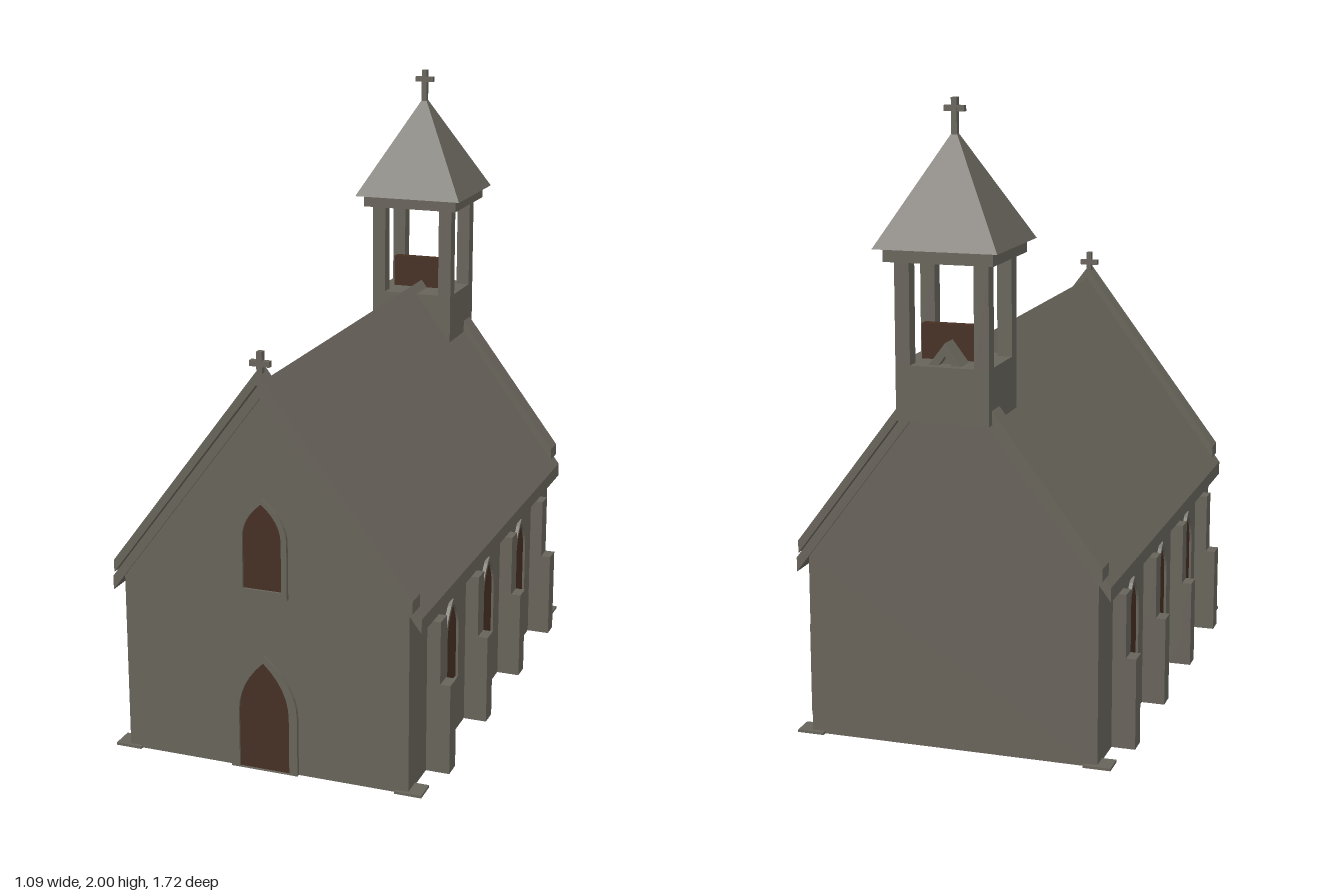
import * as THREE from 'three';

const stone = new THREE.MeshStandardMaterial({ color: 0x67635a });
stone.name = 'stone';
const brown = new THREE.MeshStandardMaterial({ color: 0x452e22 });
brown.name = 'darkBrown';

const TOWER_Z = -0.665;

export function createModel() {
  const model = new THREE.Group();
  model.name = 'chapel';

  const add = (name, geometry, material = stone, parent = model) => {
    const mesh = new THREE.Mesh(geometry, material);
    mesh.name = name;
    parent.add(mesh);
    return mesh;
  };

  // Box given by its lower and upper limits on each axis
  const box = (name, x0, x1, y0, y1, z0, z1, material = stone, parent = model) => {
    const g = new THREE.BoxGeometry(x1 - x0, y1 - y0, z1 - z0);
    g.translate((x0 + x1) / 2, (y0 + y1) / 2, (z0 + z1) / 2);
    return add(name, g, material, parent);
  };

  // Outline in x and y, drawn out along z
  const prism = (name, points, z0, z1) => {
    const shape = new THREE.Shape(points.map(p => new THREE.Vector2(...p)));
    const g = new THREE.ExtrudeGeometry(shape, { depth: z1 - z0, bevelEnabled: false });
    g.translate(0, 0, z0);
    return add(name, g);
  };

  // Inverted V with a vertical thickness
  const gableStrip = (name, hw, eave, ridge, t, z0, z1) => prism(name, [
    [-hw, eave - t], [0, ridge - t], [hw, eave - t], [hw, eave], [0, ridge], [-hw, eave],
  ], z0, z1);

  // Nave, roof and gable copings
  prism('nave', [[-0.467, 0], [0.467, 0], [0.467, 0.58], [0, 1.2], [-0.467, 0.58]], -0.737, 0.828);
  gableStrip('roof', 0.506, 0.575, 1.247, 0.046, -0.742, 0.832);
  gableStrip('frontCoping', 0.487, 0.64, 1.288, 0.04, 0.792, 0.86);
  gableStrip('backCoping', 0.487, 0.64, 1.288, 0.04, -0.77, -0.7);

  // Stepped buttresses and corner foot plates on both sides
  for (const s of [-1, 1]) {
    const side = (name, a, b, ...rest) => box(name, Math.min(s * a, s * b), Math.max(s * a, s * b), ...rest);
    for (const z of [0.631, 0.239, -0.149, -0.541]) {
      side('buttressUpper', 0.45, 0.51, 0, 0.5, z - 0.03, z + 0.03);
      side('buttressLower', 0.45, 0.543, 0, 0.295, z - 0.03, z + 0.03);
    }
    side('footPlate', 0.425, 0.512, 0, 0.008, 0.765, 0.84);
    side('footPlate', 0.425, 0.512, 0, 0.008, -0.752, -0.68);
  }

  // Pointed arch outline
  const arch = (Type, hw, y0, spring, top) => {
    const p = new Type();
    const bend = spring + (top - spring) * 0.55;
    p.moveTo(-hw, y0);
    p.lineTo(hw, y0);
    p.lineTo(hw, spring);
    p.quadraticCurveTo(hw, bend, 0, top);
    p.quadraticCurveTo(-hw, bend, -hw, spring);
    p.lineTo(-hw, y0);
    return p;
  };

  // Stone surround with a dark pane; its local z = 0 lies on the wall
  const opening = (name, outer, inner) => {
    const group = new THREE.Group();
    group.name = name;
    const frame = arch(THREE.Shape, ...outer);
    // A doorway has no sill, so its hole stops just above the ground
    frame.holes.push(arch(THREE.Path, ...inner));
    add(name + 'Frame', new THREE.ExtrudeGeometry(frame, { depth: 0.012, bevelEnabled: false, curveSegments: 6 }), stone, group);
    add(name + 'Pane', new THREE.ExtrudeGeometry(arch(THREE.Shape, ...inner), { depth: 0.004, bevelEnabled: false, curveSegments: 6 }), brown, group);
    model.add(group);
    return group;
  };

  opening('door', [0.11, 0, 0.19, 0.385], [0.083, 0.002, 0.19, 0.36]).position.z = 0.828;
  opening('gableWindow', [0.081, 0.576, 0.76, 0.89], [0.063, 0.598, 0.76, 0.873]).position.z = 0.828;
  for (const s of [-1, 1]) {
    for (const z of [0.437, 0.045, -0.345]) {
      const w = opening('sideWindow', [0.071, 0.185, 0.37, 0.488], [0.056, 0.2, 0.37, 0.472]);
      w.position.set(s * 0.467, 0, z);
      w.rotation.y = s * Math.PI / 2;
    }
  }

  // Bell tower: base, four posts, cornice and pyramid roof
  box('towerBase', -0.146, 0.146, 1.05, 1.22, TOWER_Z - 0.132, TOWER_Z + 0.132);
  for (const x of [-0.123, 0.123]) {
    for (const z of [-0.109, 0.109]) {
      box('towerPost', x - 0.023, x + 0.023, 1.22, 1.53, TOWER_Z + z - 0.023, TOWER_Z + z + 0.023);
    }
  }
  box('bellBoard', -0.105, 0.105, 1.22, 1.328, TOWER_Z - 0.017, TOWER_Z + 0.017, brown);
  box('towerCornice', -0.17, 0.17, 1.53, 1.57, TOWER_Z - 0.162, TOWER_Z + 0.162);
  const spire = new THREE.ConeGeometry(0.192 * Math.SQRT2, 0.34, 4).toNonIndexed();
  spire.rotateY(Math.PI / 4);
  spire.computeVertexNormals();
  add('towerRoof', spire).position.set(0, 1.74, TOWER_Z);

  // Crosses on the front gable and the tower
  const cross = (name, y0, y1, armY, z) => {
    const group = new THREE.Group();
    group.name = name;
    box(name + 'Post', -0.009, 0.009, y0, y1, z - 0.01, z + 0.01, stone, group);
    box(name + 'Arm', -0.032, 0.032, armY - 0.009, armY + 0.009, z - 0.009, z + 0.009, stone, group);
    model.add(group);
  };
  cross('gableCross', 1.26, 1.342, 1.305, 0.826);
  cross('towerCross', 1.89, 2, 1.968, TOWER_Z);

  return model;
}
